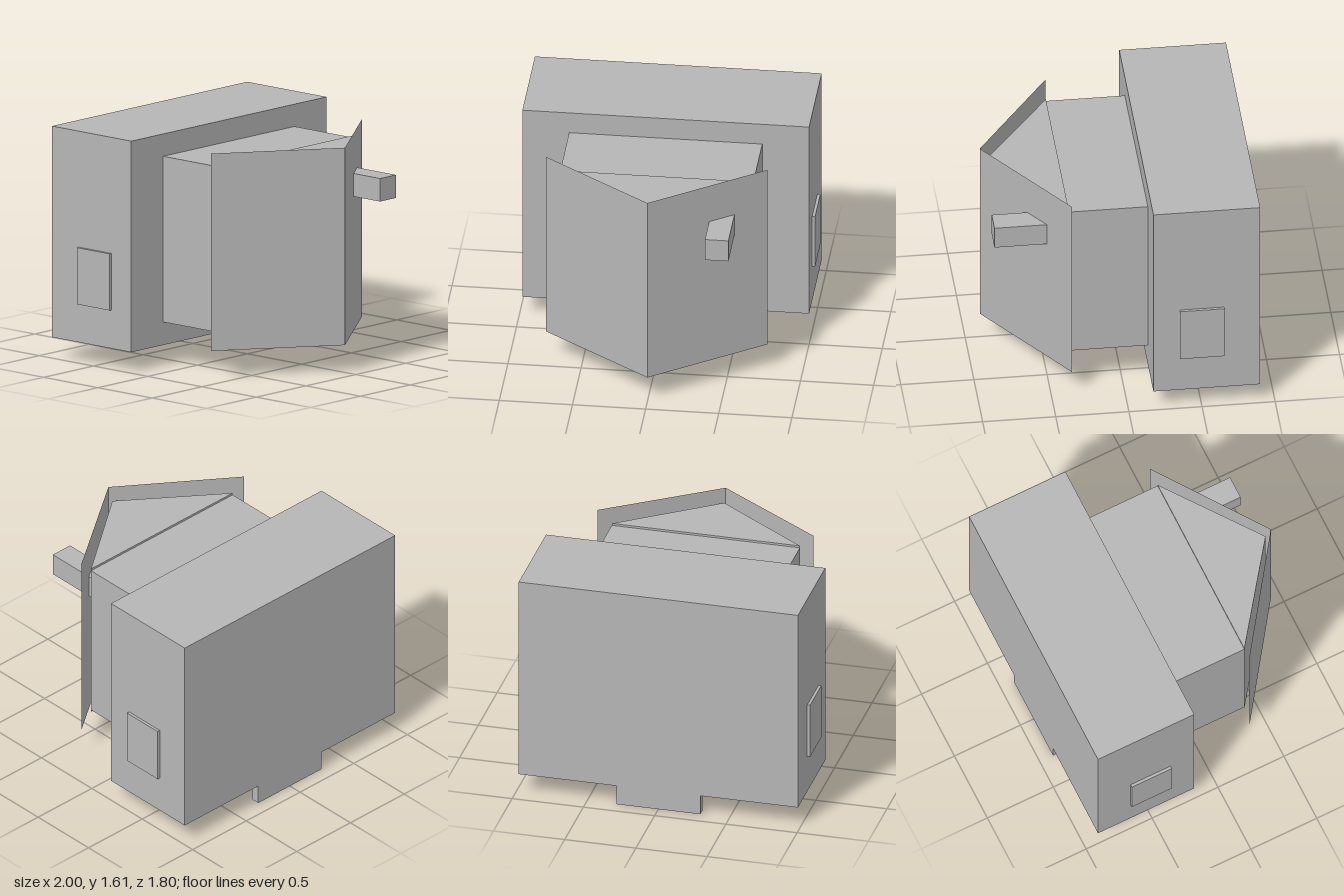
import * as THREE from 'three';

export function createModel() {
  const model = new THREE.Group();
  model.name = 'model';
  const grey = new THREE.MeshStandardMaterial({ color: 0xb6b6b6, side: THREE.DoubleSide });
  grey.name = 'plain grey';

  function add(name, geometry) {
    const mesh = new THREE.Mesh(geometry, grey);
    mesh.name = name;
    model.add(mesh);
    return mesh;
  }
  // Box given by its limits on each axis
  function block(name, x0, x1, y0, y1, z0, z1) {
    add(name, new THREE.BoxGeometry(x1 - x0, y1 - y0, z1 - z0))
      .position.set((x0 + x1) / 2, (y0 + y1) / 2, (z0 + z1) / 2);
  }

  // Main bodies
  block('rearBody', -0.98, 0.98, 0.14, 1.605, -0.9, -0.17);
  block('middleBody', -0.66, 0.66, 0.3, 1.45, -0.17, 0.37);

  // Triangular nose, very slightly taller than the middle body
  const outline = new THREE.Shape([
    new THREE.Vector2(-0.66, -0.37),
    new THREE.Vector2(0, -0.86),
    new THREE.Vector2(0.66, -0.37),
  ]);
  const nose = new THREE.ExtrudeGeometry(outline, { depth: 1.18, bevelEnabled: false });
  nose.rotateX(-Math.PI / 2);
  add('nose', nose).position.y = 0.285;

  // Peg through the left front plate
  block('frontPeg', 0.39, 0.55, 1.12, 1.28, 0.45, 0.865);

  // Rear keel and the long pad in front of it
  block('rearKeel', -0.295, 0.295, 0, 0.14, -0.9, -0.845);
  block('centrePad', -0.127, 0.127, 0.118, 0.14, -0.845, -0.325);

  // Mirrored parts
  const halfWidth = 0.757, plateDepth = 0.54;
  for (const s of [-1, 1]) {
    const side = s > 0 ? 'left' : 'right';
    const pair = (name, x0, x1, ...rest) =>
      block(side + name, Math.min(s * x0, s * x1), Math.max(s * x0, s * x1), ...rest);
    pair('SidePanel', 0.98, 1, 0.407, 0.8, -0.653, -0.35);
    pair('RearPad', 0.4, 0.795, 0.115, 0.14, -0.64, -0.325);
    pair('MiddlePad', 0.11, 0.455, 0.28, 0.3, -0.03, 0.225);

    // Thin swept front plate
    const plate = add(side + 'FrontPlate',
      new THREE.PlaneGeometry(Math.hypot(halfWidth, plateDepth), 1.37));
    plate.position.set(s * halfWidth / 2, 0.875, 0.9 - plateDepth / 2);
    plate.rotation.y = s * Math.atan2(plateDepth, halfWidth);
  }
  return model;
}
